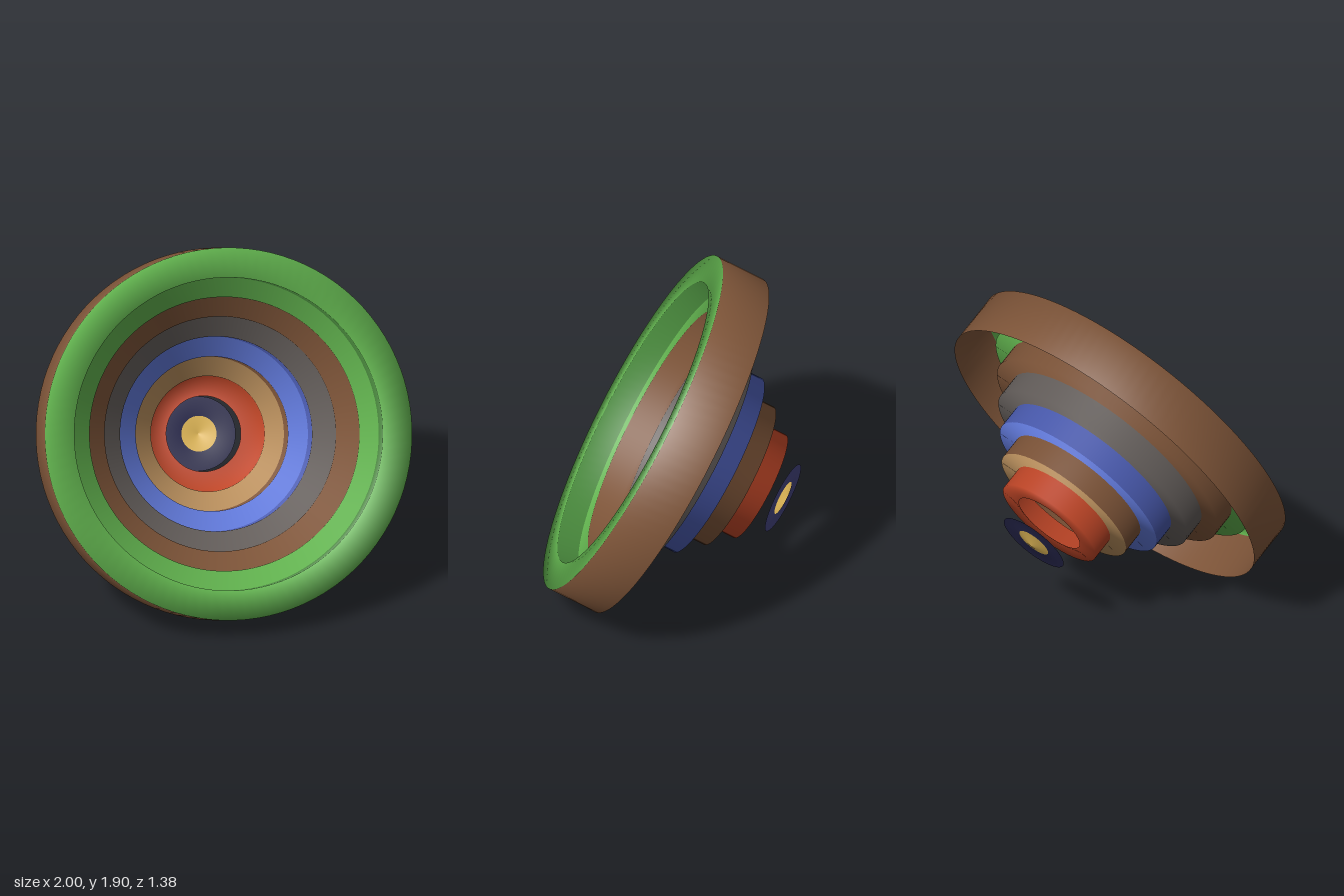
import * as THREE from 'three';

const mat = (name, color) => {
  const m = new THREE.MeshStandardMaterial({ color, side: THREE.DoubleSide });
  m.name = name;
  return m;
};

// Turns a profile of [radius, depth] points and gives each strip its own named mesh.
// All strips share the same smooth normals.
function steppedLathe(points, strips) {
  const segments = 96;
  const full = new THREE.LatheGeometry(points.map(([r, d]) => new THREE.Vector2(r, -d)), segments);
  const index = full.index.array;
  const perTurn = points.length - 1;
  const group = new THREE.Group();
  let start = 0;
  for (const [name, material, count] of strips) {
    const part = [];
    for (let i = 0; i < segments; i++) {
      const from = (i * perTurn + start) * 6;
      part.push(...index.slice(from, from + count * 6));
    }
    const geometry = new THREE.BufferGeometry();
    for (const key of ['position', 'normal', 'uv']) geometry.setAttribute(key, full.getAttribute(key));
    geometry.setIndex(part);
    const mesh = new THREE.Mesh(geometry, material);
    mesh.name = name;
    group.add(mesh);
    start += count;
  }
  return group;
}

export function createModel() {
  const green = mat('green', 0x60b04d);
  const darkGreen = mat('dark green', 0x458339);
  const brown = mat('brown', 0x7d5438);
  const grey = mat('grey', 0x645e5b);
  const blue = mat('blue', 0x4a5bb0);
  const lightBlue = mat('light blue', 0x6078d8);
  const tan = mat('tan', 0xb88e5c);
  const red = mat('red', 0xc04627);
  const navy = mat('navy', 0x25254a);
  const gold = mat('gold', 0xdcb455);

  // Outer sleeve and flat rim, then six steps: a wall going back and a ledge going in
  const radii = [0.84, 0.735, 0.63, 0.523, 0.415, 0.31, 0.203];
  const depth = 0.13;
  const profile = [[1, 0.283], [1, 0], [radii[0], 0]];
  for (let i = 0; i < 6; i++) {
    profile.push([radii[i], (i + 1) * depth - 0.002], [radii[i + 1], (i + 1) * depth - 0.002]);
  }
  const bowl = steppedLathe(profile, [
    ['outerSleeve', brown, 1],
    ['rim', green, 1],
    ['firstWall', darkGreen, 1],
    ['firstLedge', green, 1],
    ['secondStep', brown, 2],
    ['thirdStep', grey, 2],
    ['fourthWall', blue, 1],
    ['fourthLedge', lightBlue, 1],
    ['fifthWall', brown, 1],
    ['fifthLedge', tan, 1],
    ['sixthStep', red, 2],
  ]);
  bowl.name = 'steppedBowl';

  // Loose end disc with a shallow cone in its middle
  const end = steppedLathe([[0.2, 0.918], [0.096, 0.918], [0, 0.943]], [
    ['endRing', navy, 1],
    ['endCone', gold, 1],
  ]);
  end.name = 'endDisc';

  // Tip the axis forward so that the rim faces front and up
  const tilted = new THREE.Group();
  tilted.name = 'tiltedDish';
  tilted.add(bowl, end);
  tilted.rotation.x = THREE.MathUtils.degToRad(61.9);
  tilted.position.set(0, 1.015, 0.217);

  const model = new THREE.Group();
  model.name = 'steppedDish';
  model.add(tilted);
  return model;
}
